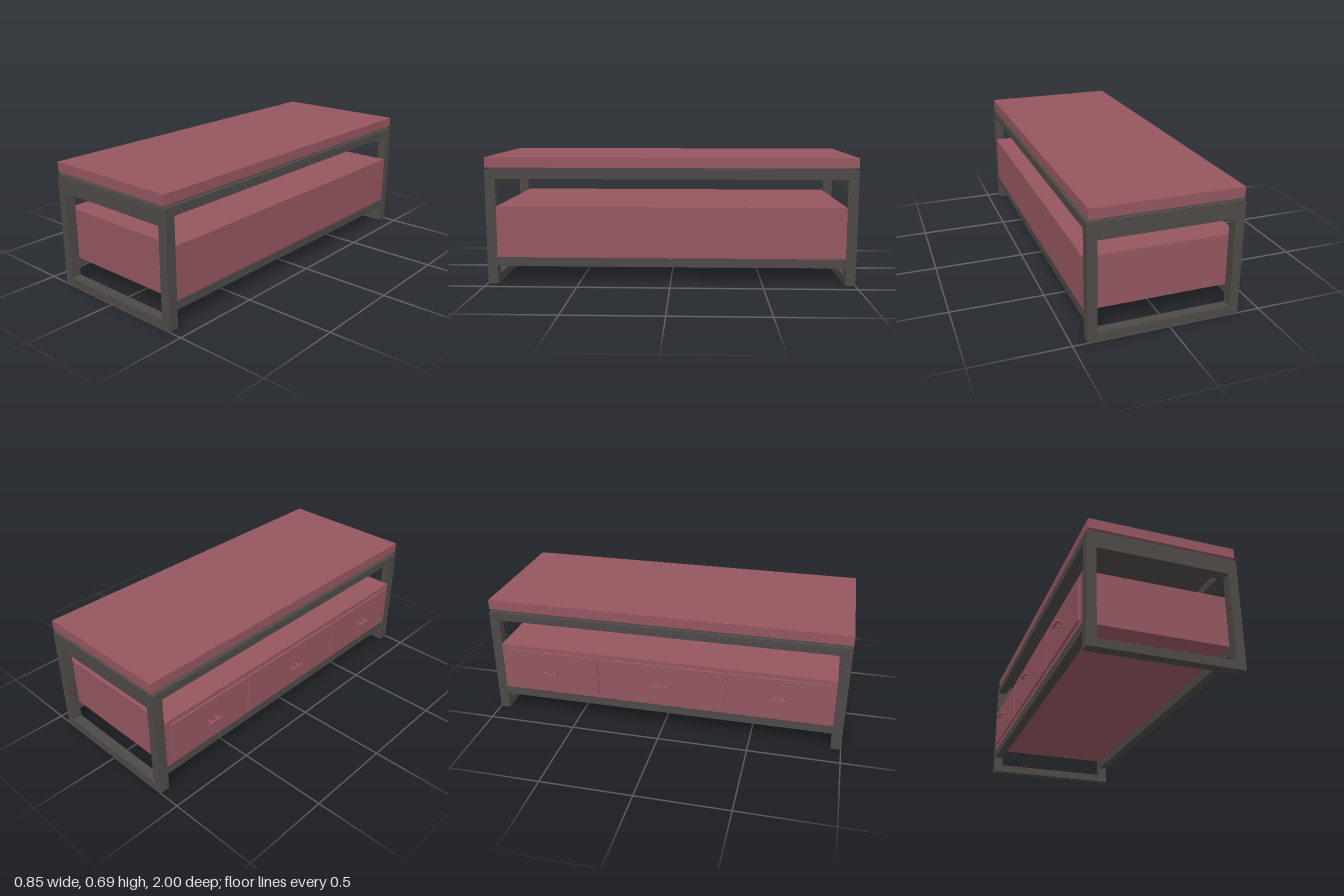
import * as THREE from 'three';

export function createModel() {
  const model = new THREE.Group();
  model.name = 'storageBench';

  const red = new THREE.MeshStandardMaterial({ color: 0x95565f });
  red.name = 'dusty red';
  const metal = new THREE.MeshStandardMaterial({ color: 0x4d4947 });
  metal.name = 'dark metal';

  // Box given by its minimum and maximum on each axis
  function block(name, material, [x0, x1], [y0, y1], [z0, z1], parent = model) {
    const mesh = new THREE.Mesh(new THREE.BoxGeometry(x1 - x0, y1 - y0, z1 - z0), material);
    mesh.position.set((x0 + x1) / 2, (y0 + y1) / 2, (z0 + z1) / 2);
    mesh.name = name;
    parent.add(mesh);
    return mesh;
  }

  function rectangle(PathType, x0, x1, y0, y1) {
    const path = new PathType();
    path.moveTo(x0, y0);
    path.lineTo(x1, y0);
    path.lineTo(x1, y1);
    path.lineTo(x0, y1);
    path.closePath();
    return path;
  }

  const left = 0.425, right = -0.378;
  const tube = 0.05, endDepth = 0.056, inner = 1 - endDepth;

  // Closed end frames with a deep top rail
  const frameShape = rectangle(THREE.Shape, right, left, 0, 0.621);
  frameShape.holes.push(rectangle(THREE.Path, right + tube, left - tube, 0.046, 0.53));
  const frameGeometry = new THREE.ExtrudeGeometry(frameShape, { depth: endDepth, bevelEnabled: false });
  for (const [name, z] of [['frontEndFrame', inner], ['backEndFrame', -1]]) {
    const frame = new THREE.Mesh(frameGeometry, metal);
    frame.position.z = z;
    frame.name = name;
    model.add(frame);
  }

  // Long rails joining the end frames
  for (const [side, x] of [['left', [left - tube, left]], ['right', [right, right + tube]]]) {
    block(side + 'UpperRail', metal, x, [0.575, 0.621], [-inner, inner]);
    block(side + 'LowerRail', metal, x, [0.097, 0.146], [-inner, inner]);
  }

  // Top board on its recessed spacer
  block('topSpacer', metal, [-0.355, 0.402], [0.621, 0.635], [-0.98, 0.98]);
  block('topBoard', red, [-0.37, 0.418], [0.635, 0.69], [-1, 1]);

  // Drawer cabinet
  block('cabinet', red, [right, left], [0.146, 0.425], [-inner, inner]);

  // Drawer fronts with bar handles on two posts
  const drawers = [[-0.907, -0.372, -0.643], [-0.36, 0.354, 0], [0.366, 0.912, 0.645]];
  for (const [z0, z1, handleZ] of drawers) {
    const drawer = new THREE.Group();
    drawer.name = 'drawer';
    model.add(drawer);
    block('drawerFront', red, [-0.389, right], [0.171, 0.4], [z0, z1], drawer);
    block('handleBar', red, [-0.428, -0.416], [0.28, 0.293], [handleZ - 0.042, handleZ + 0.042], drawer);
    for (const offset of [-0.024, 0.024]) {
      const z = handleZ + offset;
      block('handlePost', red, [-0.416, -0.389], [0.283, 0.291], [z - 0.005, z + 0.005], drawer);
    }
  }

  return model;
}
